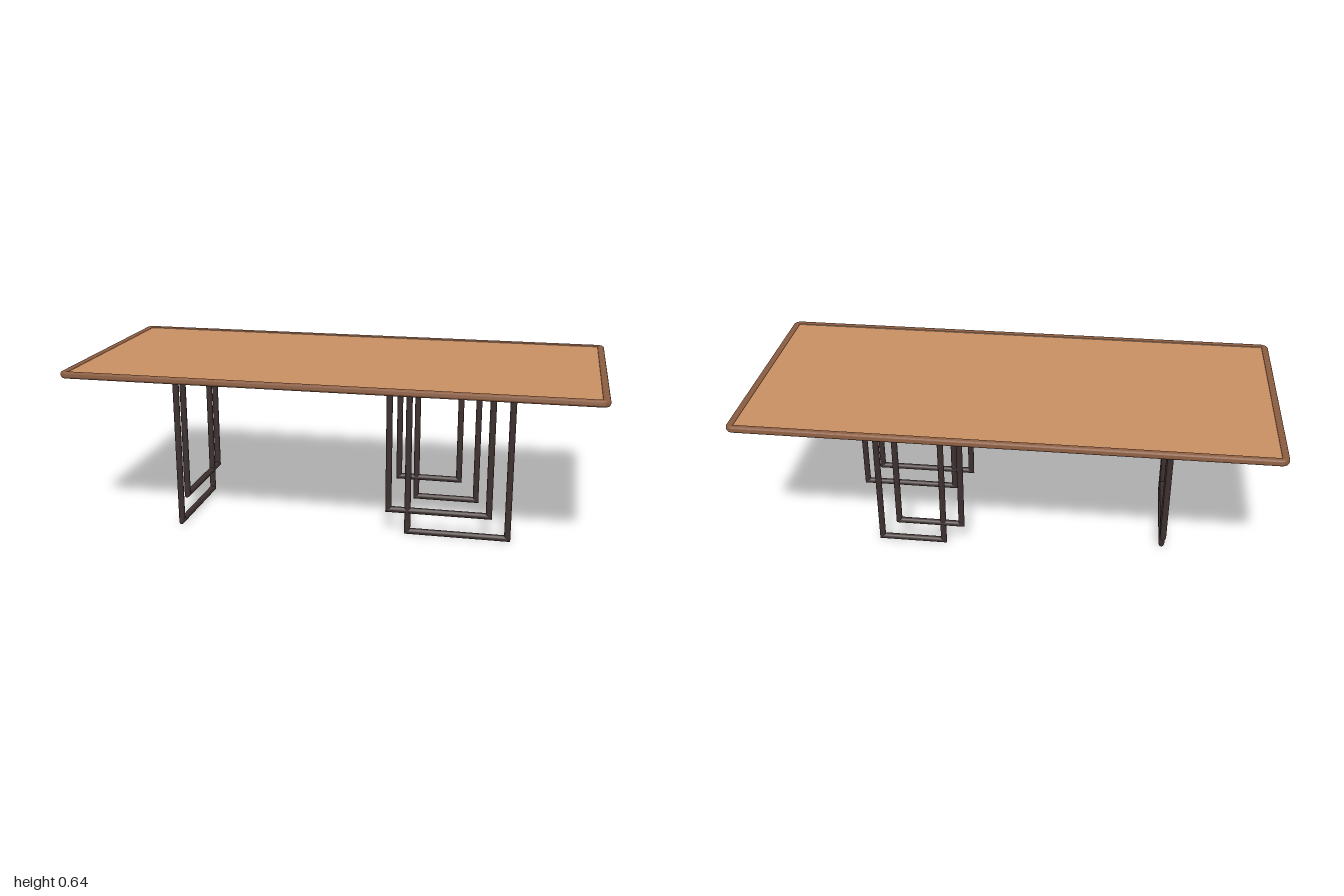
import * as THREE from 'three';
import { toCreasedNormals } from 'three/addons/utils/BufferGeometryUtils.js';

const R = 0.012; // tube radius of the legs

function roundedRect(target, hx, hz, r) {
  target.moveTo(-hx + r, -hz);
  target.lineTo(hx - r, -hz);
  target.absarc(hx - r, -hz + r, r, -Math.PI / 2, 0);
  target.absarc(hx - r, hz - r, r, 0, Math.PI / 2);
  target.absarc(-hx + r, hz - r, r, Math.PI / 2, Math.PI);
  target.absarc(-hx + r, -hz + r, r, Math.PI, Math.PI * 1.5);
  return target;
}

// Upright tube whose lower end is cut at 45 degrees to meet the foot bar
function mitredLeg(x, y0, y1, side) {
  const g = new THREE.CylinderGeometry(R, R, y1 - y0, 16);
  g.translate(0, (y0 + y1) / 2, 0);
  const p = g.attributes.position;
  for (let i = 0; i < p.count; i++) {
    if (p.getY(i) < (y0 + y1) / 2) p.setY(i, y0 - side * p.getX(i));
  }
  return g.translate(x, 0, 0);
}

// Foot bar cut at 45 degrees at both ends
function mitredBar(x0, x1, y) {
  const g = new THREE.CylinderGeometry(R, R, x1 - x0, 16);
  g.rotateZ(Math.PI / 2);
  const p = g.attributes.position;
  for (let i = 0; i < p.count; i++) {
    const s = Math.sign(p.getX(i));
    p.setX(i, p.getX(i) - s * p.getY(i));
  }
  return g.translate((x0 + x1) / 2, y, 0);
}

export function createModel() {
  const panelWood = new THREE.MeshStandardMaterial({ color: 0xc98f62 });
  panelWood.name = 'panel wood';
  const rimWood = new THREE.MeshStandardMaterial({ color: 0x8a5c40 });
  rimWood.name = 'rim wood';
  const darkMetal = new THREE.MeshStandardMaterial({ color: 0x3c302f });
  darkMetal.name = 'dark metal';

  const model = new THREE.Group();
  model.name = 'table';
  const add = (parent, name, geometry, material) => {
    const mesh = new THREE.Mesh(geometry, material);
    mesh.name = name;
    parent.add(mesh);
  };

  // Table top: thin panel inside a rounded rim
  add(model, 'topPanel', new THREE.BoxGeometry(1.95, 0.011, 0.85).translate(0, 0.6355, 0), panelWood);
  const outline = roundedRect(new THREE.Shape(), 0.99, 0.438, 0.02);
  outline.holes.push(roundedRect(new THREE.Path(), 0.982, 0.43, 0.001));
  const rim = new THREE.ExtrudeGeometry(outline, {
    depth: 0.005, bevelThickness: 0.01, bevelSize: 0.01, bevelSegments: 4, curveSegments: 6,
  });
  rim.rotateX(-Math.PI / 2).translate(0, 0.631, 0);
  add(model, 'topRim', toCreasedNormals(rim, 0.7), rimWood);

  // U-shaped leg frame, drawn along local x
  const legFrame = (name, from, to, footY) => {
    const frame = new THREE.Group();
    frame.name = name;
    add(frame, 'uprightStart', mitredLeg(from, footY, 0.631, -1), darkMetal);
    add(frame, 'uprightEnd', mitredLeg(to, footY, 0.631, 1), darkMetal);
    add(frame, 'footBar', mitredBar(from, to, footY), darkMetal);
    model.add(frame);
    return frame;
  };

  // Each pair has a low frame and a raised frame shifted sideways by 0.075
  const LOW = 0.015, RAISED = 0.1;
  legFrame('frontFrameLow', 0.283, 0.668, LOW).position.z = 0.192;
  legFrame('frontFrameRaised', 0.208, 0.595, RAISED).position.z = 0.192;
  legFrame('backFrameLow', 0.264, 0.515, LOW).position.z = -0.195;
  legFrame('backFrameRaised', 0.19, 0.442, RAISED).position.z = -0.195;

  const sideFrames = [
    legFrame('sideFrameLow', -0.266, 0.115, LOW),
    legFrame('sideFrameRaised', -0.192, 0.19, RAISED),
  ];
  for (const frame of sideFrames) {
    frame.rotation.y = Math.PI / 2; // local +x becomes -z
    frame.position.x = -0.61;
  }
  return model;
}
